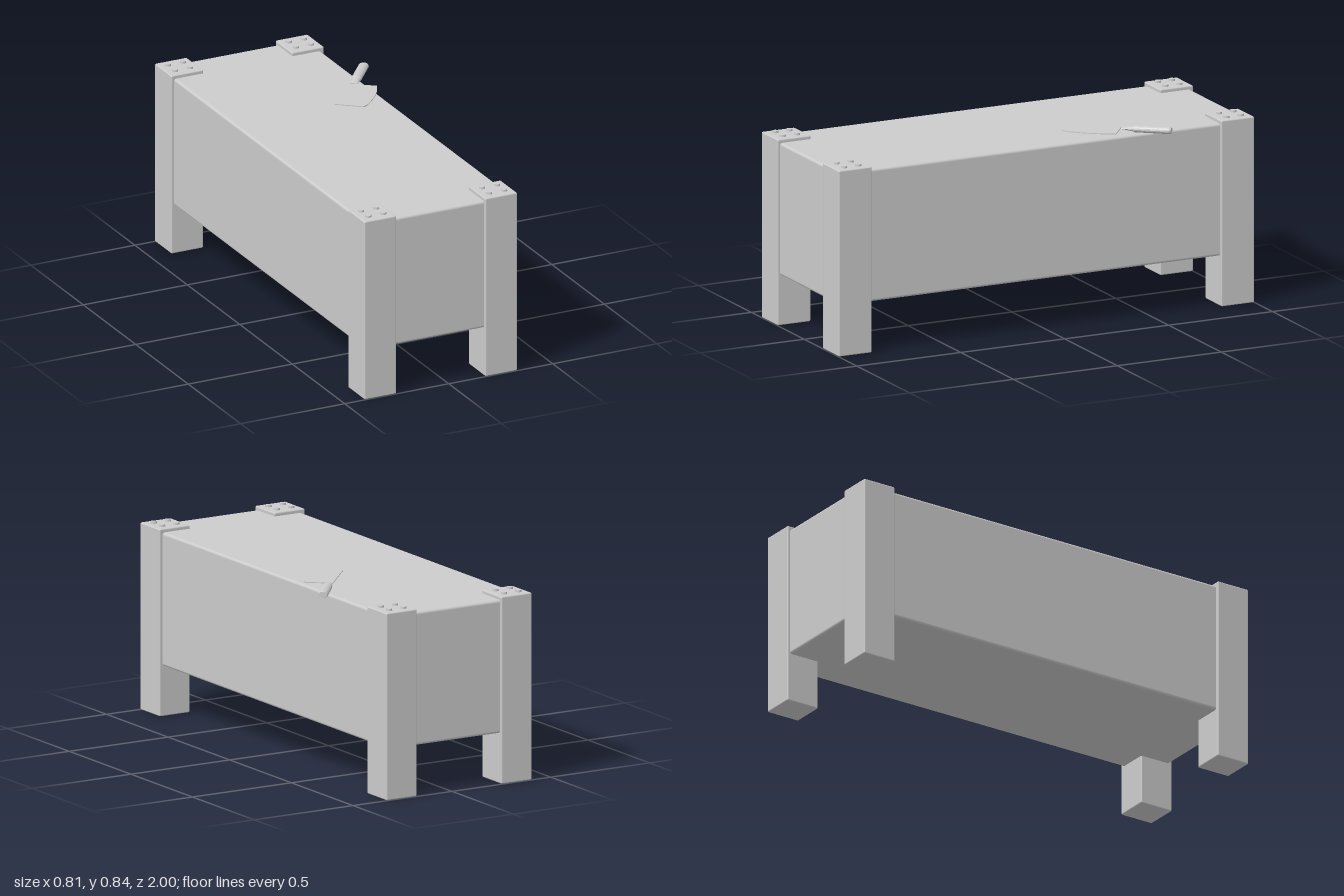
import * as THREE from 'three';
import { RoundedBoxGeometry } from 'three/addons/geometries/RoundedBoxGeometry.js';

const material = new THREE.MeshStandardMaterial({ color: 0xcccccc });

function add(parent, name, geometry, x = 0, y = 0, z = 0) {
  const mesh = new THREE.Mesh(geometry, material);
  mesh.name = name;
  mesh.position.set(x, y, z);
  parent.add(mesh);
  return mesh;
}

// Corner post standing on the ground, with four bolt heads on top
function makeLeg(x, z) {
  const leg = new THREE.Group();
  leg.name = 'leg';
  leg.position.set(x, 0, z);
  add(leg, 'post', new RoundedBoxGeometry(0.154, 0.826, 0.159, 2, 0.006), 0, 0.413, 0);
  for (const bx of [-0.036, 0.036]) {
    for (const bz of [-0.034, 0.034]) {
      add(leg, 'bolt', new THREE.CylinderGeometry(0.013, 0.014, 0.012, 16), bx, 0.829, bz);
    }
  }
  return leg;
}

// Flat blade with a curved cutting edge, drawn in x and z
function makeBlade() {
  const s = new THREE.Shape();
  s.moveTo(0.074, 0.235);
  s.lineTo(0.169, 0.156);
  s.quadraticCurveTo(0.183, 0.155, 0.2, 0.167);
  s.quadraticCurveTo(0.295, 0.25, 0.328, 0.336);
  s.lineTo(0.233, 0.41);
  s.closePath();
  const g = new THREE.ExtrudeGeometry(s, { depth: 0.004, bevelEnabled: false, curveSegments: 10 });
  return g.rotateX(-Math.PI / 2);
}

// Handle running along +z: oval cross-section that thins towards the blade
function makeHandle() {
  const profile = [[0, 0], [0.75, 0], [0.85, 0.05], [1, 0.06], [1, 0.21], [0.86, 0.218], [0, 0.218]];
  const g = new THREE.LatheGeometry(profile.map(([r, l]) => new THREE.Vector2(r, l)), 16);
  g.rotateX(Math.PI / 2);
  const p = g.attributes.position;
  for (let i = 0; i < p.count; i++) {
    const t = Math.min(p.getZ(i) / 0.06, 1);
    p.setX(i, p.getX(i) * 0.0225);
    p.setY(i, p.getY(i) * (0.005 + 0.0105 * t));
  }
  const flat = g.toNonIndexed();
  flat.computeVertexNormals();
  return flat;
}

export function createModel() {
  const model = new THREE.Group();
  model.name = 'choppingBlock';

  // Main block
  add(model, 'block', new RoundedBoxGeometry(0.706, 0.588, 1.976, 3, 0.012), -0.038, 0.516, 0);

  // Corner legs
  for (const x of [-0.328, 0.253]) {
    for (const z of [-0.9205, 0.9205]) model.add(makeLeg(x, z));
  }

  // Cleaver lying on the block
  const cleaver = new THREE.Group();
  cleaver.name = 'cleaver';
  add(cleaver, 'blade', makeBlade(), 0, 0.827, 0);
  const handle = add(cleaver, 'handle', makeHandle(), 0.249, 0.829, -0.402);
  handle.rotation.y = Math.atan2(0.137, -0.17);
  model.add(cleaver);

  return model;
}
